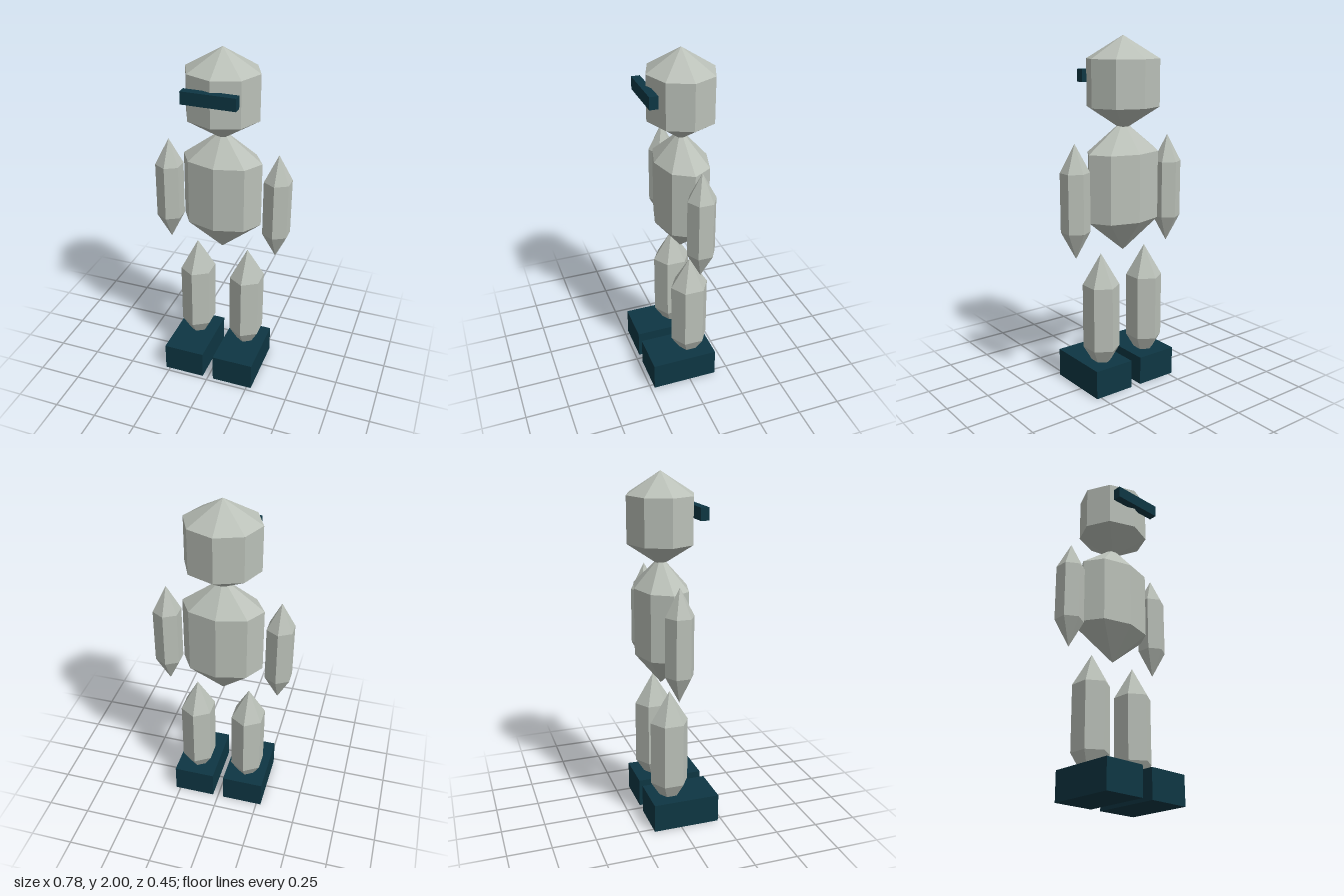
import * as THREE from 'three';

export function createModel() {
  const model = new THREE.Group();
  model.name = 'robotFigure';
  const shell = new THREE.MeshStandardMaterial({ color: 0xbac0b8, flatShading: true });
  shell.name = 'paleGreyShell';
  const trim = new THREE.MeshStandardMaterial({ color: 0x0e3643, flatShading: true });
  trim.name = 'darkTealTrim';
  const bodyZ = -0.035;

  // Faceted prism with a pointed cap at each end; ys = bottom tip, lower rim, upper rim, top tip
  function crystal(name, sides, x, rx, rz, ys) {
    const profile = [0, 1, 1, 0].map((r, i) => new THREE.Vector2(r, ys[i]));
    const geometry = new THREE.LatheGeometry(profile, sides);
    geometry.scale(rx, 1, rz);
    const mesh = new THREE.Mesh(geometry, shell);
    mesh.name = name;
    mesh.position.set(x, 0, bodyZ);
    model.add(mesh);
  }

  // Box given by its lower and upper corners
  function block(name, lo, hi) {
    const size = hi.map((v, i) => v - lo[i]);
    const mesh = new THREE.Mesh(new THREE.BoxGeometry(...size), trim);
    mesh.name = name;
    mesh.position.set(...hi.map((v, i) => (v + lo[i]) / 2));
    model.add(mesh);
  }

  // Head, visor and torso
  crystal('head', 8, 0, 0.21, 0.191, [1.49, 1.62, 1.877, 2]);
  block('visor', [-0.151, 1.747, 0.139], [0.151, 1.817, 0.187]);
  crystal('torso', 8, 0, 0.23, 0.153, [0.805, 0.992, 1.372, 1.545]);

  // Paired limbs and feet
  for (const [side, s] of [['left', 1], ['right', -1]]) {
    crystal(side + 'Arm', 6, s * 0.322, 0.081, 0.081, [0.807, 0.96, 1.287, 1.442]);
    crystal(side + 'Leg', 6, s * 0.155, 0.102, 0.111, [0.07, 0.25, 0.625, 0.808]);
    const xs = [s * 0.033, s * 0.277].sort((a, b) => a - b);
    block(side + 'Foot', [xs[0], 0, -0.162], [xs[1], 0.167, 0.226]);
  }
  return model;
}
